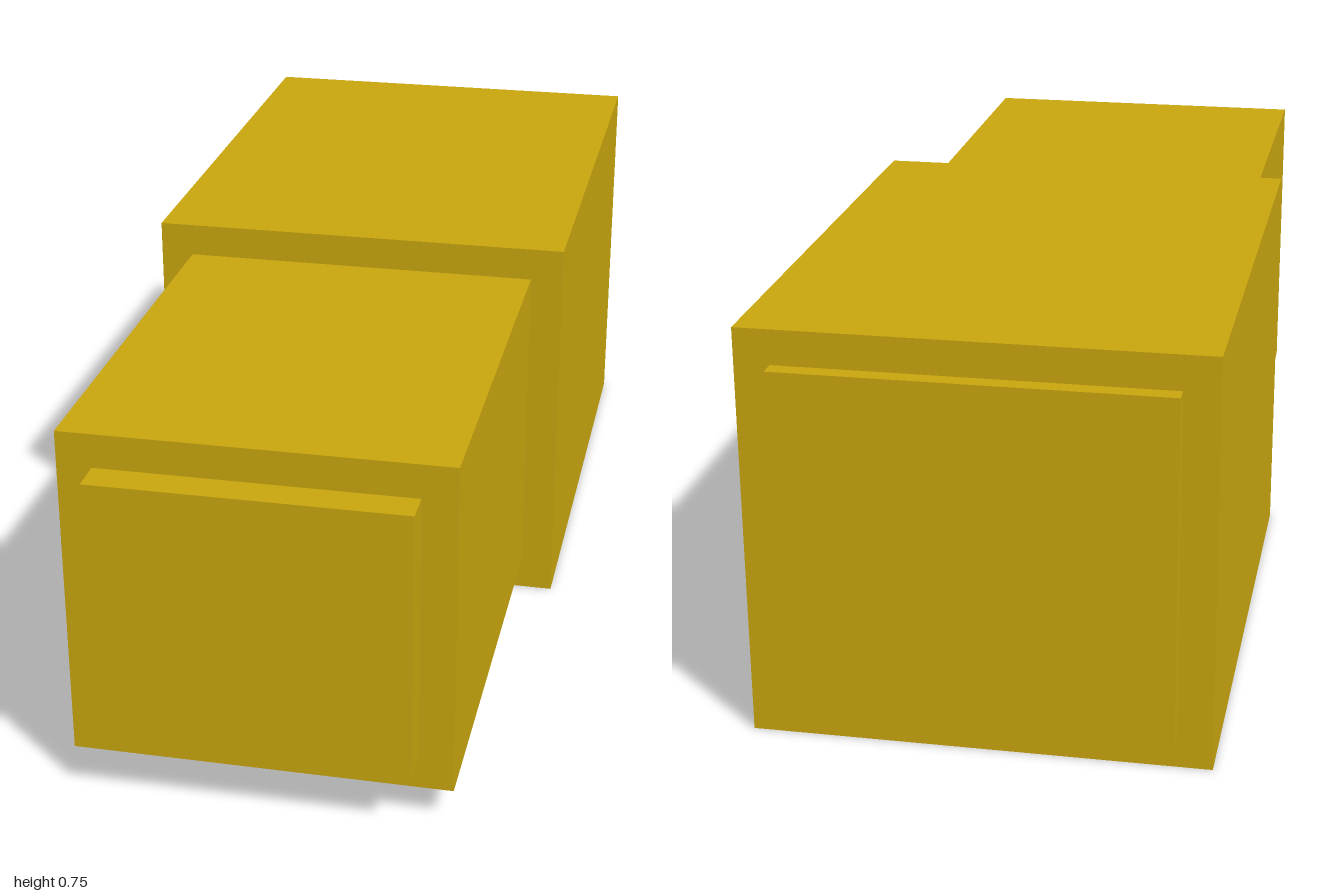
import * as THREE from 'three';

export function createModel() {
  const model = new THREE.Group();
  const gold = new THREE.MeshStandardMaterial({ color: 0xc8a50e });
  gold.name = 'gold';

  const centreY = 0.375;

  // Box centred on the long axis, running from zBack to zFront
  function block(name, width, height, zBack, zFront) {
    const mesh = new THREE.Mesh(new THREE.BoxGeometry(width, height, zFront - zBack), gold);
    mesh.name = name;
    mesh.position.set(0, centreY, (zBack + zFront) / 2);
    model.add(mesh);
  }

  // Thin plate standing out from the back
  block('backPlate', 0.6875, 0.625, -1, -0.96875);
  // Wide rear housing
  block('rearHousing', 0.8125, 0.75, -0.96875, 0.09375);
  // Narrower front barrel
  block('frontBarrel', 0.6875, 0.625, 0.09375, 0.9375);
  // Small raised end cap
  block('frontCap', 0.5625, 0.5, 0.9375, 1);

  return model;
}
